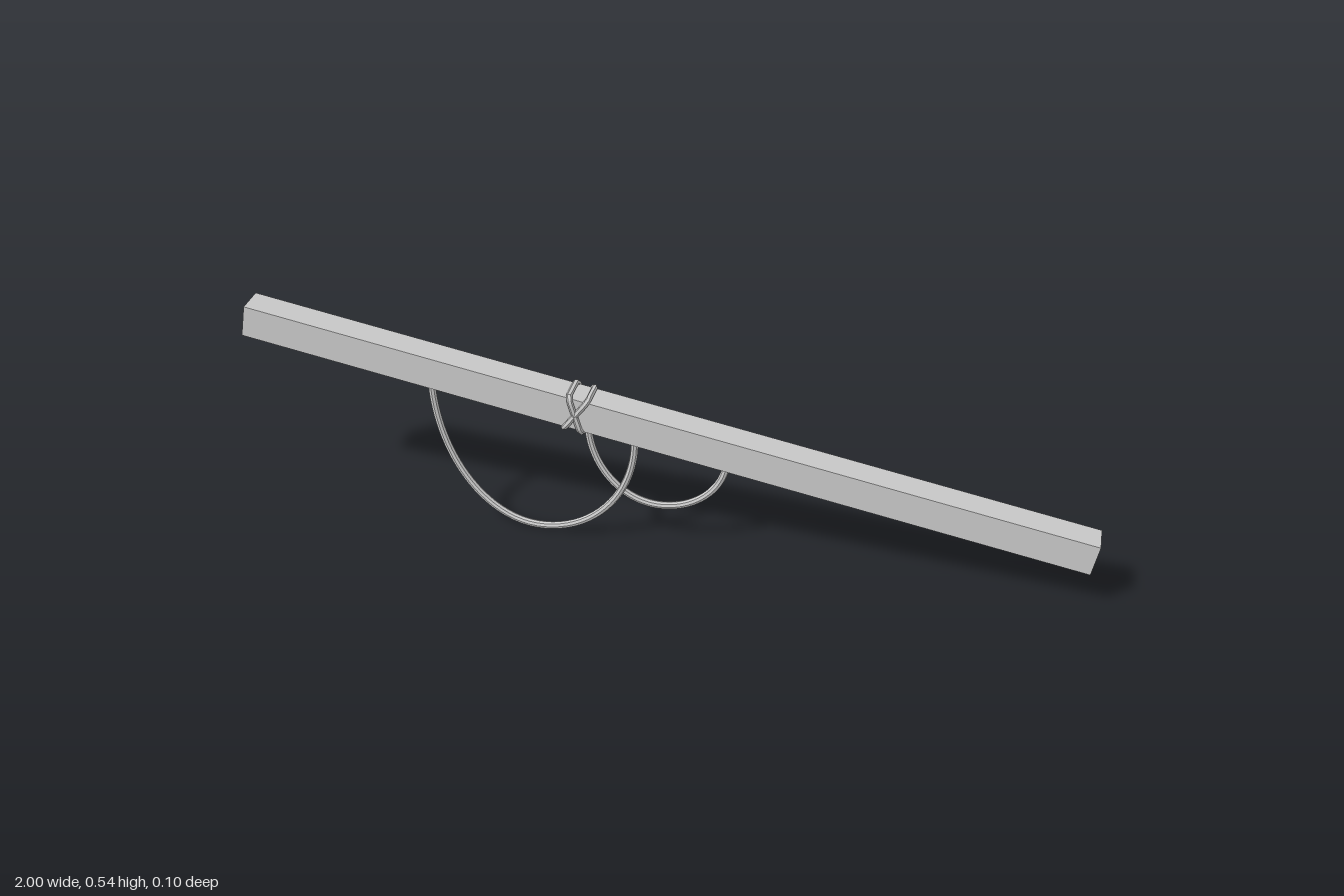
import * as THREE from 'three';

const material = new THREE.MeshStandardMaterial({ color: 0xcccccc, flatShading: true });

function addMesh(parent, name, geometry) {
  const mesh = new THREE.Mesh(geometry, material);
  mesh.name = name;
  parent.add(mesh);
  return mesh;
}

// Sagging cord made of two quarter ellipses that meet at its lowest point.
function cordLoop(left, bottom, right, zAt) {
  const points = [];
  const steps = 24;
  for (let i = 0; i <= steps; i++) {
    const a = Math.PI * (i / steps);
    const end = a < Math.PI / 2 ? left : right;
    const x = bottom[0] - Math.abs(end[0] - bottom[0]) * Math.cos(a);
    const y = end[1] - (end[1] - bottom[1]) * Math.sin(a);
    points.push(new THREE.Vector3(x, y, zAt(x)));
  }
  // Tuck both ends into the beam
  points.unshift(points[0].clone().setY(left[1] + 0.02));
  points.push(points[points.length - 1].clone().setY(right[1] + 0.02));
  return new THREE.TubeGeometry(new THREE.CatmullRomCurve3(points), 48, 0.009, 8);
}

// Slanted band with cut corners, wound once round the beam.
function bindingBand(lean) {
  const h = 0.045, d = 0.041, c = 0.011;
  const corners = [
    [h, d - c], [h - c, d], [c - h, d], [-h, d - c],
    [-h, c - d], [c - h, -d], [h - c, -d], [h, c - d],
  ];
  const path = new THREE.CurvePath();
  corners.forEach(([y, z], i) => {
    const [y2, z2] = corners[(i + 1) % corners.length];
    path.add(new THREE.LineCurve3(
      new THREE.Vector3(lean * y, y, z), new THREE.Vector3(lean * y2, y2, z2)));
  });
  return new THREE.TubeGeometry(path, 64, 0.007, 6, true);
}

export function createModel() {
  const model = new THREE.Group();
  model.name = 'beamWithCords';

  // Sloping square beam with the binding that crosses over on each face
  const beamGroup = new THREE.Group();
  beamGroup.name = 'boundBeam';
  beamGroup.position.y = 0.317;
  beamGroup.rotation.z = -Math.atan2(0.366, 1.985);
  model.add(beamGroup);
  addMesh(beamGroup, 'beam', new THREE.BoxGeometry(2.018, 0.078, 0.07));
  for (const side of [-1, 1]) {
    const band = addMesh(beamGroup, side < 0 ? 'bindingBandA' : 'bindingBandB', bindingBand(side * 0.5));
    band.position.x = -0.203;
  }

  // Two overlapping cords hanging under the beam
  addMesh(model, 'largeCord',
    cordLoop([-0.558, 0.38], [-0.31, 0.01], [-0.066, 0.29], x => 0.045 * (x + 0.34)));
  addMesh(model, 'smallCord',
    cordLoop([-0.183, 0.312], [-0.012, 0.1], [0.145, 0.252], x => -0.015 - 0.03 * (x + 0.012)));

  return model;
}
